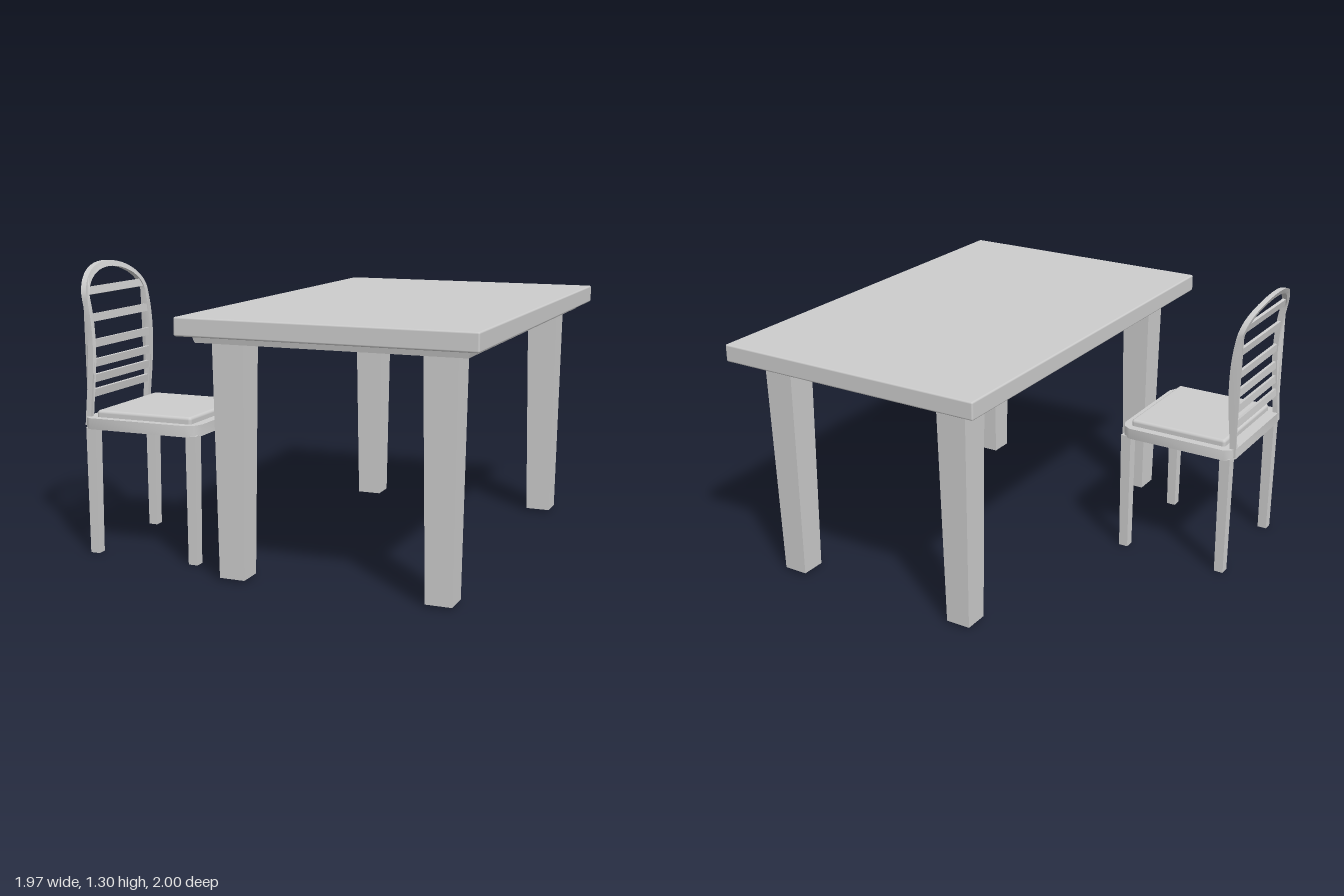
import * as THREE from 'three';
import { toCreasedNormals } from 'three/addons/utils/BufferGeometryUtils.js';
import { RoundedBoxGeometry } from 'three/addons/geometries/RoundedBoxGeometry.js';

const grey = new THREE.MeshStandardMaterial({ color: 0xcccccc });
const greyThin = new THREE.MeshStandardMaterial({ color: 0xcccccc, side: THREE.DoubleSide, flatShading: true });

function add(parent, name, geometry, x = 0, y = 0, z = 0, material = grey) {
  const mesh = new THREE.Mesh(geometry, material);
  mesh.name = name;
  mesh.position.set(x, y, z);
  parent.add(mesh);
  return mesh;
}

// Square leg standing on its origin, wider at the top.
function taperedLeg(top, bottom, height, open) {
  return new THREE.CylinderGeometry(top * Math.SQRT1_2, bottom * Math.SQRT1_2, height, 4, 1, open)
    .rotateY(Math.PI / 4).translate(0, height / 2, 0);
}

const rectPoints = (w, d) => [[-w, -d], [w, -d], [w, d], [-w, d]].map(([x, y]) => new THREE.Vector2(x / 2, y / 2));

// Flat outline extruded upwards from its origin.
function slab(shape, height) {
  return new THREE.ExtrudeGeometry(shape, { depth: height, bevelEnabled: false }).rotateX(-Math.PI / 2);
}

function createTable() {
  const table = new THREE.Group();
  table.name = 'table';
  table.position.x = 0.335;
  add(table, 'tableTop', new RoundedBoxGeometry(1.29, 0.08, 2, 2, 0.008), 0, 1.093, 0);

  // Apron: a hollow frame, its outer side sloping in towards the bottom
  const frame = new THREE.Shape(rectPoints(1.19, 1.88));
  frame.holes.push(new THREE.Path(rectPoints(1.08, 1.77).reverse()));
  const apron = slab(frame, 0.033);
  const p = apron.attributes.position;
  for (let i = 0; i < p.count; i++) {
    if (p.getY(i) > 0.01) continue;
    p.setX(i, p.getX(i) - Math.sign(p.getX(i)) * 0.012);
    p.setZ(i, p.getZ(i) - Math.sign(p.getZ(i)) * 0.008);
  }
  apron.computeVertexNormals();
  add(table, 'tableApron', apron, 0, 1.022, 0);

  const leg = taperedLeg(0.143, 0.115, 1.045, true);
  for (const sx of [-1, 1]) for (const sz of [-1, 1]) {
    add(table, 'tableLeg', leg, sx * 0.458, 0.01, sz * 0.813, greyThin);
  }
  return table;
}

// Side profile of the chair back: x for each height
const spine = new THREE.CatmullRomCurve3([
  [-0.92, 0.575], [-0.91, 0.69], [-0.899, 0.81], [-0.894, 0.93],
  [-0.9, 1.05], [-0.916, 1.15], [-0.938, 1.23], [-0.975, 1.31],
].map(([x, y]) => new THREE.Vector3(x, y, 0))).getPoints(80);

function backX(y) {
  const i = Math.max(1, spine.findIndex((q) => q.y >= y));
  const a = spine[i - 1], b = spine[i];
  return a.x + (b.x - a.x) * (y - a.y) / (b.y - a.y);
}

// One edge of the hoop: straight sides under half an ellipse
function hoopEdge(halfWidth, top) {
  const base = 0.585, shoulder = 1.15, side = 16, arc = 32, pts = [];
  for (let i = 0; i < side; i++) pts.push([halfWidth, base + (shoulder - base) * i / side]);
  for (let i = 0; i <= arc; i++) {
    const t = Math.PI * i / arc;
    pts.push([halfWidth * Math.cos(t), shoulder + (top - shoulder) * Math.sin(t)]);
  }
  for (let i = side - 1; i >= 0; i--) pts.push([-halfWidth, base + (shoulder - base) * i / side]);
  return pts.map(([u, y]) => new THREE.Vector2(u, y));
}

function createChair() {
  const chair = new THREE.Group();
  chair.name = 'chair';
  chair.position.z = 0.44;

  // Seat frame with cut corners
  const half = [[-0.93, 0.25], [-0.915, 0.28], [-0.89, 0.297], [-0.41, 0.297], [-0.375, 0.275], [-0.357, 0.235]];
  const outline = [...half.map(([x, z]) => [x, -z]), ...half.slice().reverse()];
  const seat = new THREE.Shape(outline.map(([x, z]) => new THREE.Vector2(x, z)));
  add(chair, 'seatFrame', toCreasedNormals(slab(seat, 0.05), 0.6), 0, 0.575, 0);
  add(chair, 'seatCushion', new RoundedBoxGeometry(0.475, 0.06, 0.518, 3, 0.014), -0.638, 0.626, 0);

  const leg = taperedLeg(0.05, 0.044, 0.58, false).toNonIndexed();
  leg.computeVertexNormals();
  for (const x of [-0.89, -0.388]) for (const s of [-1, 1]) add(chair, 'chairLeg', leg, x, 0, s * 0.262);

  // Back hoop: arch cut from a board, then bent along the spine
  const arch = new THREE.Shape([...hoopEdge(0.265, 1.305), ...hoopEdge(0.239, 1.279).reverse()]);
  const hoop = new THREE.ExtrudeGeometry(arch, { depth: 0.026, bevelEnabled: false })
    .translate(0, 0, -0.013).rotateY(Math.PI / 2);
  const p = hoop.attributes.position;
  for (let i = 0; i < p.count; i++) p.setX(i, p.getX(i) + backX(p.getY(i)));
  add(chair, 'backHoop', toCreasedNormals(hoop, 0.6));

  // Slats, spaced wider towards the top and tilted with the spine
  for (const y of [0.728, 0.795, 0.865, 0.953, 1.067, 1.185]) {
    const slat = add(chair, 'backSlat', new THREE.BoxGeometry(0.014, 0.036, 0.49), backX(y), y, 0);
    slat.rotation.z = -Math.atan((backX(y + 0.02) - backX(y - 0.02)) / 0.04);
  }
  return chair;
}

export function createModel() {
  const model = new THREE.Group();
  model.name = 'diningTableAndChair';
  model.add(createTable(), createChair());
  return model;
}
